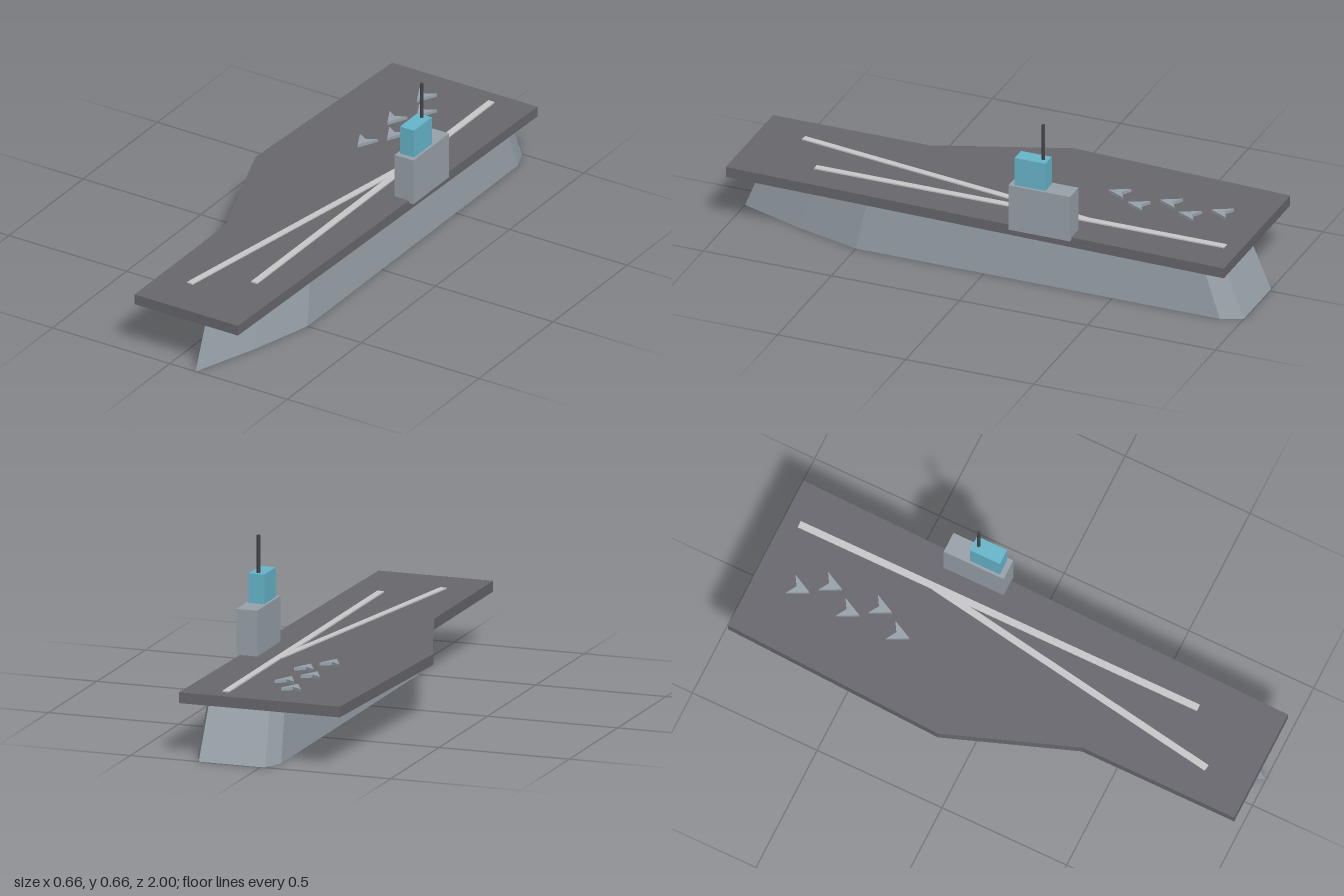
import * as THREE from 'three';

const material = (name, color) => {
  const m = new THREE.MeshStandardMaterial({ color });
  m.name = name;
  return m;
};

// Extrudes an outline of [x, z] points upward from y0 to y1
function slab(points, y0, y1) {
  const shape = new THREE.Shape(points.map(([x, z]) => new THREE.Vector2(x, -z)));
  const geo = new THREE.ExtrudeGeometry(shape, { depth: y1 - y0, bevelEnabled: false });
  return geo.rotateX(-Math.PI / 2).translate(0, y0, 0);
}

export function createModel() {
  const model = new THREE.Group();
  model.name = 'aircraftCarrier';

  const hullGrey = material('hull grey', 0x98a2aa);
  const deckGrey = material('deck grey', 0x67676d);
  const stripeWhite = material('stripe white', 0xc8c8ca);
  const windowBlue = material('bridge blue', 0x67b6cc);
  const mastDark = material('mast dark grey', 0x444448);

  const add = (name, geo, mat, parent = model) => {
    const mesh = new THREE.Mesh(geo, mat);
    mesh.name = name;
    parent.add(mesh);
    return mesh;
  };
  const box = (name, mat, [x0, x1], [y0, y1], [z0, z1]) =>
    add(name, new THREE.BoxGeometry(x1 - x0, y1 - y0, z1 - z0), mat)
      .position.set((x0 + x1) / 2, (y0 + y1) / 2, (z0 + z1) / 2);

  // Hull: pointed bow, clipped stern, narrowing evenly toward the deck
  const side = [[0.09, 0.75], [0.16, 0.5], [0.16, -0.92], [0.127, -1]];
  const hullOutline = [[0, 1], ...side, ...side.map(([x, z]) => [-x, z]).reverse()];
  const hullGeo = slab(hullOutline, 0, 0.2);
  const p = hullGeo.attributes.position;
  for (let i = 0; i < p.count; i++) {
    const s = p.getY(i) > 0.1 ? 0.92 : 1;
    p.setXYZ(i, p.getX(i) * s, p.getY(i), p.getZ(i) * s);
  }
  hullGeo.computeVertexNormals();
  add('hull', hullGeo, hullGrey).position.x = 0.11;

  // Flight deck with the overhang on its right side
  add('flightDeck', slab([
    [-0.15, 1], [0.29, 1], [0.328, -0.96], [-0.29, -0.96], [-0.33, -0.1], [-0.15, 0.39],
  ], 0.2, 0.24), deckGrey);

  // Runway stripes
  box('straightStripe', stripeWhite, [0.157, 0.183], [0.239, 0.245], [-0.9, 0.7]);
  const angled = add('angledStripe', new THREE.BoxGeometry(0.025, 0.006, 1.2), stripeWhite);
  angled.position.set(0.072, 0.2418, 0.235);
  angled.rotation.y = -0.16;

  // Island tower, bridge and mast
  box('islandTower', hullGrey, [0.25, 0.33], [0.23, 0.41], [-0.36, -0.12]);
  box('bridge', windowBlue, [0.26, 0.32], [0.41, 0.52], [-0.26, -0.14]);
  add('mast', new THREE.CylinderGeometry(0.007, 0.007, 0.14, 6).toNonIndexed(), mastDark)
    .position.set(0.29, 0.59, -0.24);
  model.getObjectByName('mast').geometry.computeVertexNormals();

  // Parked jets: notched darts in a staggered line
  const jetGeo = slab([[0, 0.04], [0.038, -0.035], [0, -0.012], [-0.038, -0.035]], 0.244, 0.256);
  const jets = new THREE.Group();
  jets.name = 'parkedJets';
  model.add(jets);
  for (let i = 0; i < 5; i++) {
    add('jet', jetGeo, hullGrey, jets).position.set(i % 2 ? 0.01 : -0.052, 0, -0.79 + i * 0.1);
  }

  return model;
}
